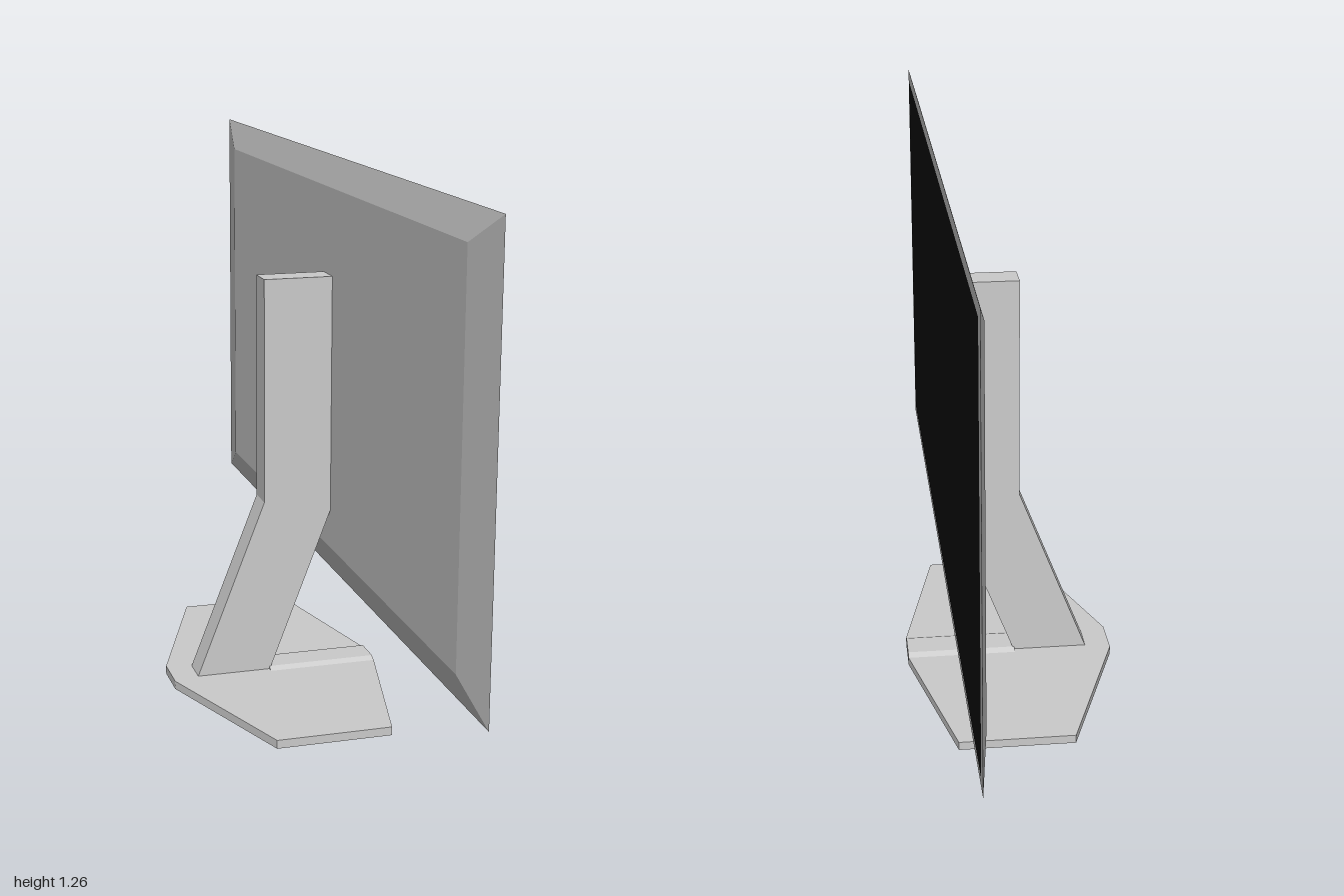
import * as THREE from 'three';

// Polygon from [x, y] points, extruded along z
function extrude(points, depth) {
  const shape = new THREE.Shape(points.map(([x, y]) => new THREE.Vector2(x, y)));
  return new THREE.ExtrudeGeometry(shape, { depth, bevelEnabled: false });
}

export function createModel() {
  const group = new THREE.Group();
  const grey = new THREE.MeshStandardMaterial({ color: 0xcccccc, flatShading: true });
  const black = new THREE.MeshStandardMaterial({ color: 0x101010 });

  const add = (name, geometry, material = grey) => {
    const mesh = new THREE.Mesh(geometry, material);
    mesh.name = name;
    group.add(mesh);
    return mesh;
  };

  // Housing: thin slab with its back face drawn in to bevel all four edges
  const housing = new THREE.BoxGeometry(0.02, 1.01, 2);
  const pos = housing.attributes.position;
  for (let i = 0; i < pos.count; i++) {
    if (pos.getX(i) < 0) {
      pos.setY(i, Math.sign(pos.getY(i)) * 0.435);
      pos.setZ(i, Math.sign(pos.getZ(i)) * 0.87);
    }
  }
  housing.computeVertexNormals();
  add('housing', housing).position.set(0.149, 0.753, 0);

  // Display surface, just proud of the bezel
  const screen = add('screen', new THREE.PlaneGeometry(1.94, 0.955), black);
  screen.rotation.y = Math.PI / 2;
  screen.position.set(0.16, 0.753, 0);

  // Cranked arm from the base up to the back of the housing
  const arm = extrude([
    [-0.193, 0.018], [-0.013, 0.018], [0.14, 0.415],
    [0.14, 0.983], [-0.026, 0.983], [-0.026, 0.445],
  ], 0.07);
  add('arm', arm.translate(0, 0, -0.035));

  // Eight-sided foot plate
  const half = [[-0.253, 0.05], [-0.11, 0.443], [0.16, 0.443], [0.25, 0.05]];
  const outline = [...half, ...half.map(([x, z]) => [x, -z]).reverse()];
  add('base', extrude(outline, 0.02).rotateX(-Math.PI / 2));

  // Low ridge running forward from the arm
  const ridge = extrude([[-0.05, 0.015], [0.05, 0.015], [0.05, 0.02], [0.035, 0.027], [-0.035, 0.027], [-0.05, 0.02]], 0.264);
  add('baseRidge', ridge.rotateY(Math.PI / 2).translate(-0.014, 0, 0));

  return group;
}
